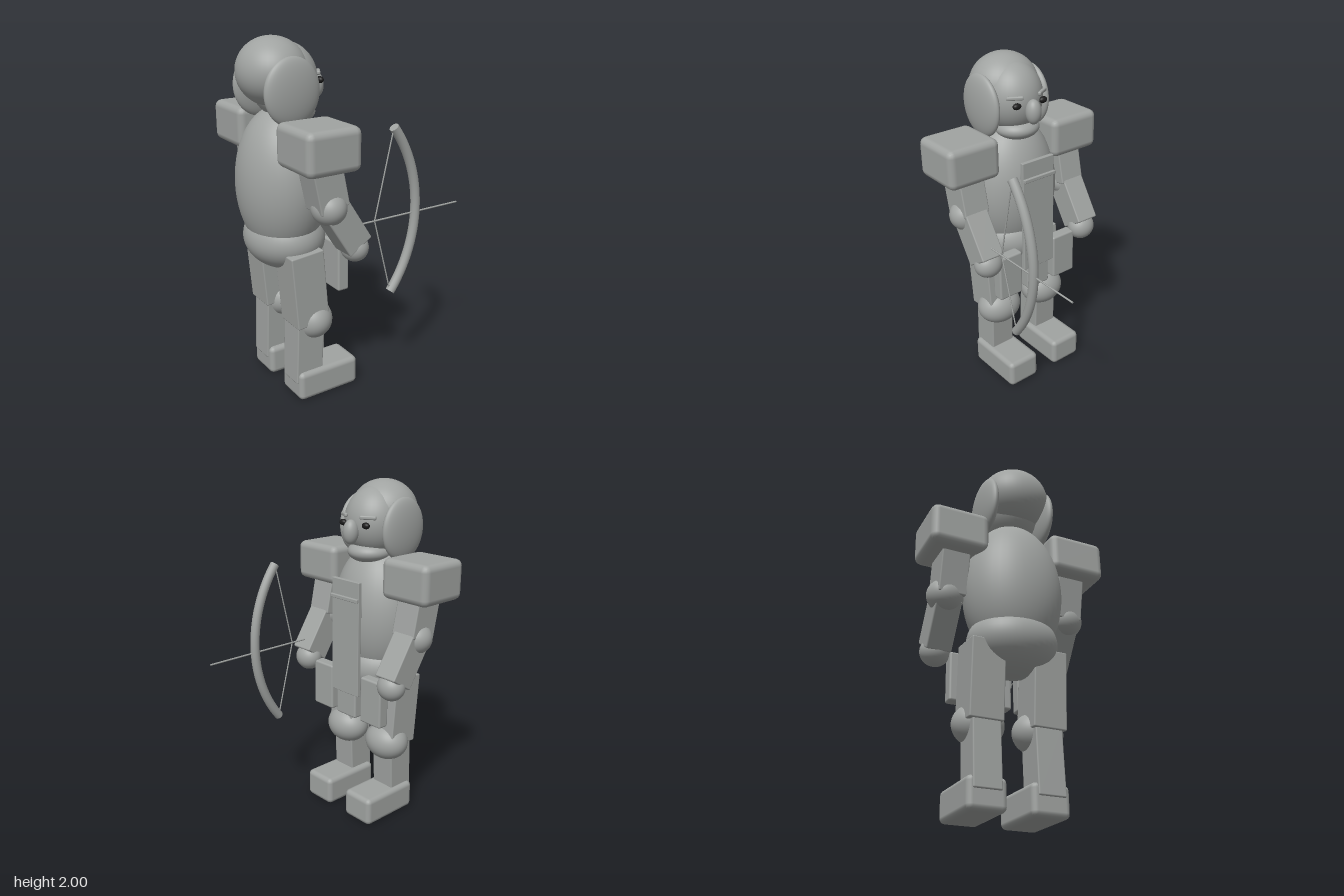
import * as THREE from 'three';
import { RoundedBoxGeometry } from 'three/addons/geometries/RoundedBoxGeometry.js';

export function createModel() {
  const model = new THREE.Group();
  model.name = 'archer';

  const grey = new THREE.MeshStandardMaterial({ color: 0xa0a3a1 });
  grey.name = 'plain grey';
  const black = new THREE.MeshStandardMaterial({ color: 0x1c1c1c });
  black.name = 'eye black';

  const add = (name, geometry, x, y, z, material = grey) => {
    const mesh = new THREE.Mesh(geometry, material);
    mesh.name = name;
    mesh.position.set(x, y, z);
    model.add(mesh);
    return mesh;
  };

  // Ellipsoid from centre and radii
  const ball = (name, x, y, z, rx, ry, rz, material) =>
    add(name, new THREE.SphereGeometry(1, 40, 28).scale(rx, ry, rz), x, y, z, material);

  // Softly bevelled block from its extents
  const block = (name, x0, x1, y0, y1, z0, z1, bevel) =>
    add(name, new RoundedBoxGeometry(x1 - x0, y1 - y0, z1 - z0, 2, bevel),
      (x0 + x1) / 2, (y0 + y1) / 2, (z0 + z1) / 2);

  // Bevelled box limb running between two points of a side plane
  const limb = (name, a, b, z, thickness, width) => {
    const dx = b[0] - a[0], dy = b[1] - a[1];
    const mesh = add(name, new RoundedBoxGeometry(thickness, Math.hypot(dx, dy), width, 1, 0.008),
      (a[0] + b[0]) / 2, (a[1] + b[1]) / 2, z);
    mesh.rotation.z = Math.atan2(dy, dx) - Math.PI / 2;
    return mesh;
  };

  // Thin round rod between two points of a side plane
  const rod = (name, a, b, z, radius) => {
    const dx = b[0] - a[0], dy = b[1] - a[1];
    const mesh = add(name, new THREE.CylinderGeometry(radius, radius, Math.hypot(dx, dy), 10),
      (a[0] + b[0]) / 2, (a[1] + b[1]) / 2, z);
    mesh.rotation.z = Math.atan2(dy, dx) - Math.PI / 2;
    return mesh;
  };

  // Body and head
  ball('torso', -0.36, 1.22, 0, 0.24, 0.42, 0.28);
  ball('hips', -0.35, 0.915, 0, 0.22, 0.18, 0.25);
  ball('face', -0.33, 1.77, 0, 0.18, 0.2, 0.175);
  ball('jaw', -0.29, 1.6, 0, 0.13, 0.065, 0.13);
  ball('hairCap', -0.398, 1.82, 0, 0.187, 0.18, 0.2);
  ball('nose', -0.135, 1.725, 0, 0.045, 0.07, 0.044);

  // Tabard, its strap and the middle hanging plate
  block('tabard', -0.12, -0.095, 0.775, 1.46, -0.11, 0.11, 0.004);
  block('tabardStrap', -0.096, -0.078, 1.345, 1.367, -0.11, 0.11, 0.004);
  block('middlePlate', -0.175, -0.105, 0.625, 0.905, -0.08, 0.08, 0.012);

  for (const s of [1, -1]) {
    const side = s > 0 ? 'left' : 'right';
    const mirrored = (name, x0, x1, y0, y1, z0, z1, bevel) =>
      block(side + name, x0, x1, y0, y1, Math.min(s * z0, s * z1), Math.max(s * z0, s * z1), bevel);

    // Face details
    ball(side + 'SideHair', -0.378, 1.735, s * 0.17, 0.16, 0.178, 0.047);
    ball(side + 'Eye', -0.163, 1.767, s * 0.09, 0.018, 0.018, 0.026, black);
    const brow = add(side + 'Brow', new RoundedBoxGeometry(0.02, 0.022, 0.095, 2, 0.008),
      -0.175, 1.81, s * 0.094);
    brow.rotation.y = -s * 0.53;

    // Arm
    mirrored('ShoulderPad', -0.5, -0.182, 1.375, 1.605, 0.19, 0.52, 0.04);
    limb(side + 'UpperArm', [-0.345, 1.45], [-0.285, 1.165], s * 0.35, 0.175, 0.16);
    ball(side + 'Elbow', -0.29, 1.163, s * 0.365, 0.093, 0.093, 0.103);
    limb(side + 'Forearm', [-0.275, 1.165], [-0.125, 0.93], s * 0.355, 0.16, 0.145);
    ball(side + 'Hand', -0.12, 0.907, s * 0.352, 0.075, 0.08, 0.085);

    // Leg
    mirrored('HipPlate', -0.175, -0.105, 0.625, 0.905, 0.12, 0.283, 0.012);
    limb(side + 'Thigh', [-0.36, 0.885], [-0.325, 0.46], s * 0.177, 0.2, 0.19);
    ball(side + 'Knee', -0.29, 0.46, s * 0.17, 0.117, 0.115, 0.14);
    limb(side + 'Shin', [-0.33, 0.47], [-0.345, 0.1], s * 0.173, 0.168, 0.155);
    mirrored('Foot', -0.42, -0.035, 0, 0.172, 0.065, 0.277, 0.03);
  }

  // Bow: a round arc with flat ends, held on the left
  const bowZ = 0.352, bowY = 1.052, R = 0.774, half = 0.66, thick = 0.027;
  const bow = new THREE.Group();
  bow.name = 'bow';
  bow.position.set(-0.482, bowY, bowZ);
  model.add(bow);
  const stave = new THREE.Mesh(new THREE.TorusGeometry(R, thick, 14, 48, 2 * half), grey);
  stave.name = 'bowStave';
  stave.rotation.z = -half;
  bow.add(stave);
  for (const s of [1, -1]) {
    const end = new THREE.Mesh(
      new THREE.CircleGeometry(thick, 14).rotateX(-s * Math.PI / 2).translate(R, 0, 0), grey);
    end.name = s > 0 ? 'upperBowEnd' : 'lowerBowEnd';
    end.rotation.z = s * half;
    bow.add(end);
    rod(s > 0 ? 'upperBowString' : 'lowerBowString',
      [0.125, bowY + s * 0.455], [0.013, 1.025], bowZ, 0.004);
  }

  // Arrow
  rod('arrow', [-0.085, 1.025], [0.6, 1.025], bowZ, 0.005);

  return model;
}
